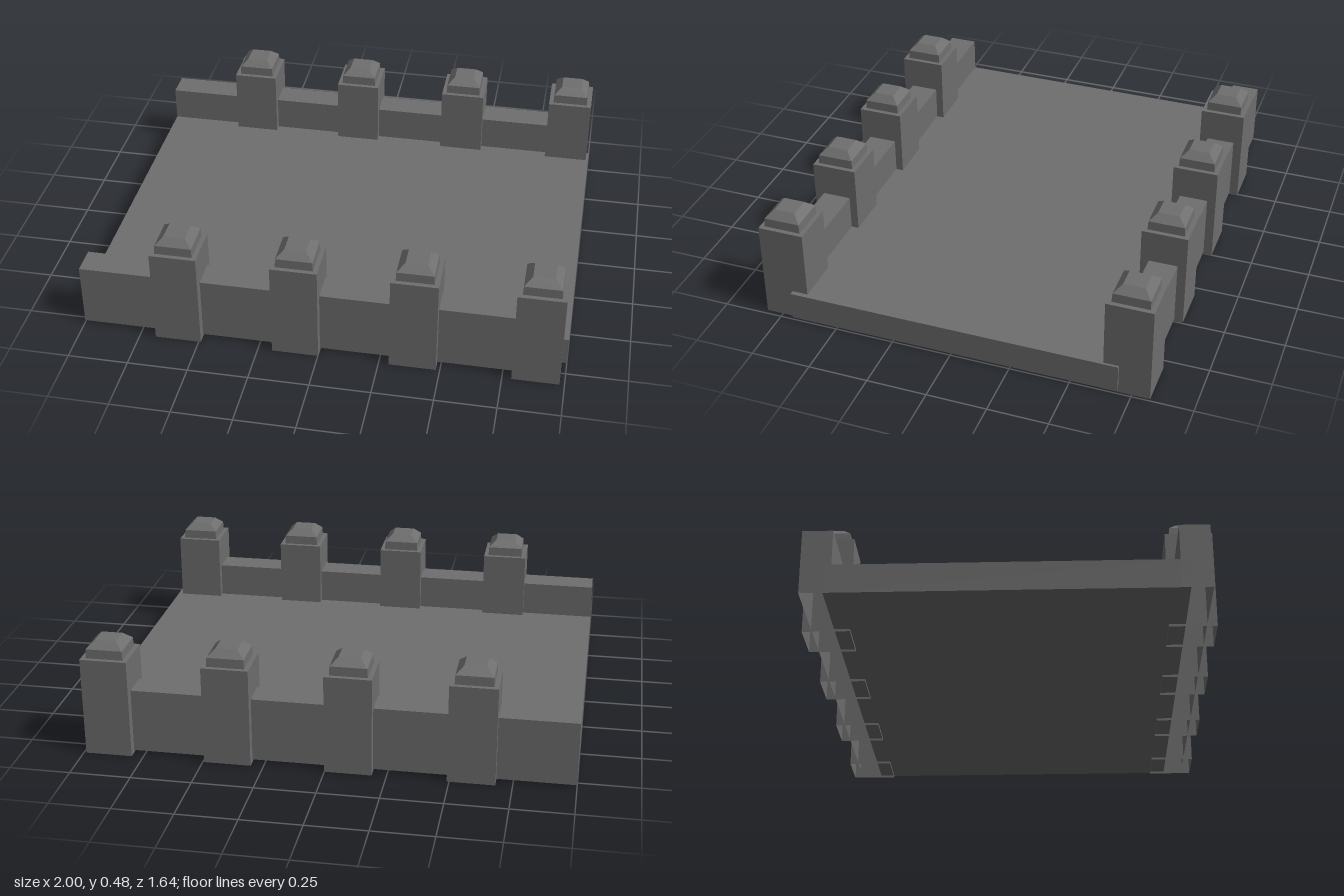
import * as THREE from 'three';

// Box given by its limits; open boxes have no underside
function block(name, material, x0, x1, y0, y1, z0, z1, open = false) {
  const geo = new THREE.BoxGeometry(x1 - x0, y1 - y0, z1 - z0);
  if (open) {
    const index = Array.from(geo.index.array);
    index.splice(18, 6); // drop the -y face
    geo.setIndex(index);
    geo.clearGroups();
  }
  const mesh = new THREE.Mesh(geo, material);
  mesh.name = name;
  mesh.position.set((x0 + x1) / 2, (y0 + y1) / 2, (z0 + z1) / 2);
  return mesh;
}

// Square cap: short upright band, then a sloped roof with a flat top
function capGeometry() {
  const profile = [[0.077, 0], [0.075, 0.038], [0.044, 0.068], [0, 0.068]]
    .map(([half, y]) => new THREE.Vector2(half * Math.SQRT2, y));
  const geo = new THREE.LatheGeometry(profile, 4, Math.PI / 4).toNonIndexed();
  geo.computeVertexNormals();
  return geo;
}

export function createModel() {
  const model = new THREE.Group();
  const stone = new THREE.MeshStandardMaterial({ color: 0x6e6e6e, side: THREE.DoubleSide });
  stone.name = 'grey stone';

  // Road deck
  model.add(block('deck', stone, -1, 1, 0.01, 0.13, -0.695, 0.695));

  // One parapet per side: low wall with four capped posts
  const capGeo = capGeometry();
  const half = 0.096;
  const postTop = 0.416;
  const sides = [
    { name: 'front', wall: [0.66, 0.78], z: 0.724, posts: [-0.587, -0.095, 0.388, 0.884] },
    { name: 'back', wall: [-0.787, -0.667], z: -0.728, posts: [-0.587, -0.095, 0.398, 0.894] },
  ];
  for (const side of sides) {
    const parapet = new THREE.Group();
    parapet.name = `${side.name}Parapet`;
    parapet.add(block('wall', stone, -1, 0.9, 0.01, 0.278, ...side.wall, true));
    for (const x of side.posts) {
      const post = new THREE.Group();
      post.name = 'post';
      post.add(block('shaft', stone, x - half, x + half, 0, postTop, side.z - half, side.z + half, true));
      const cap = new THREE.Mesh(capGeo, stone);
      cap.name = 'cap';
      cap.position.set(x, postTop, side.z);
      post.add(cap);
      parapet.add(post);
    }
    model.add(parapet);
  }
  return model;
}
